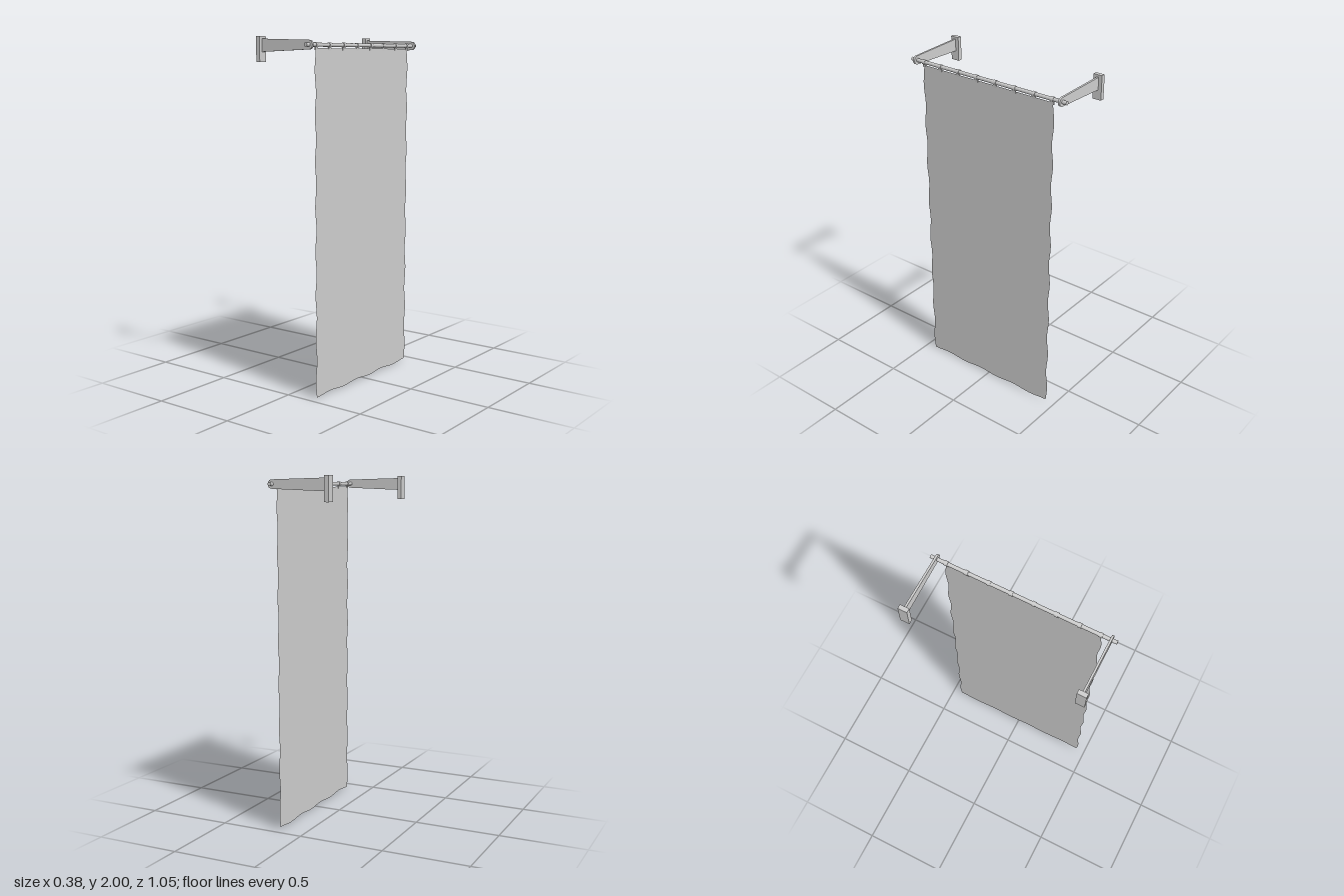
import * as THREE from 'three';

const ROD_X = 0.16, ROD_Y = 1.953, ROD_R = 0.0105;
const grey = new THREE.MeshStandardMaterial({ color: 0xcccccc });
const clothGrey = new THREE.MeshStandardMaterial({ color: 0xcccccc, side: THREE.DoubleSide });

function add(parent, name, geometry, material = grey) {
  const mesh = new THREE.Mesh(geometry, material);
  mesh.name = name;
  parent.add(mesh);
  return mesh;
}

// Extrudes an x-y outline, centred along z
function extrudeZ(shape, depth) {
  return new THREE.ExtrudeGeometry(shape, { depth, bevelEnabled: false, curveSegments: 16 })
    .translate(0, 0, -depth / 2);
}

// Tapered arm with a round eye for the rod
function armShape() {
  const s = new THREE.Shape();
  s.moveTo(-0.166, 1.987);
  s.lineTo(-0.166, 1.916);
  s.lineTo(ROD_X, ROD_Y - 0.025);
  s.absarc(ROD_X, ROD_Y, 0.025, -Math.PI / 2, Math.PI / 2, false);
  s.closePath();
  const hole = new THREE.Path();
  hole.absarc(ROD_X, ROD_Y, ROD_R, 0, Math.PI * 2, true);
  s.holes.push(hole);
  return s;
}

// Strap wrapped round the rod, pinched together where it grips the cloth
function loopShape() {
  const r = 0.0135, s = new THREE.Shape();
  s.moveTo(ROD_X - 0.002, 1.924);
  s.lineTo(ROD_X + 0.002, 1.924);
  s.lineTo(ROD_X + 0.003, 1.937);
  s.absarc(ROD_X, ROD_Y, r, -1.2, Math.PI + 1.2, false);
  s.lineTo(ROD_X - 0.003, 1.937);
  s.closePath();
  const hole = new THREE.Path();
  hole.absarc(ROD_X, ROD_Y, ROD_R, 0, Math.PI * 2, true);
  s.holes.push(hole);
  return s;
}

// Flat sheet in the y-z plane with gently rippled side and bottom edges
function clothGeometry() {
  const top = 1.935, half = 0.445, period = 0.247;
  const geo = new THREE.PlaneGeometry(1, 1, 28, 96);
  const p = geo.attributes.position;
  for (let i = 0; i < p.count; i++) {
    const u = p.getX(i) * 2, v = p.getY(i) + 0.5;
    const ripple = 0.005 * Math.cos((v * top - 1.82) / period * Math.PI * 2);
    const z = -u * half - ripple * u * u * u;
    const hem = 0.005 * (1 - Math.cos((z - 0.445) / 0.254 * Math.PI * 2));
    p.setXYZ(i, ROD_X, hem + v * (top - hem), z);
  }
  geo.computeVertexNormals();
  return geo;
}

export function createModel() {
  const model = new THREE.Group();
  model.name = 'hangingBanner';

  // Wall brackets at both ends
  for (const side of [-1, 1]) {
    const bracket = new THREE.Group();
    bracket.name = side > 0 ? 'frontBracket' : 'backBracket';
    bracket.position.z = side * 0.494;
    add(bracket, 'wallPlate', new THREE.BoxGeometry(0.025, 0.14, 0.053)).position.set(-0.1775, 1.93, 0);
    add(bracket, 'arm', extrudeZ(armShape(), 0.012));
    model.add(bracket);
  }

  // Rod
  const rod = new THREE.CylinderGeometry(ROD_R, ROD_R, 1.055, 24).rotateX(Math.PI / 2);
  add(model, 'rod', rod).position.set(ROD_X, ROD_Y, 0);

  // Hanging loops
  const loop = extrudeZ(loopShape(), 0.02);
  for (const z of [0.064, 0.192, 0.32, 0.437])
    for (const side of [-1, 1]) add(model, 'hangingLoop', loop).position.z = side * z;

  add(model, 'cloth', clothGeometry(), clothGrey);
  return model;
}
